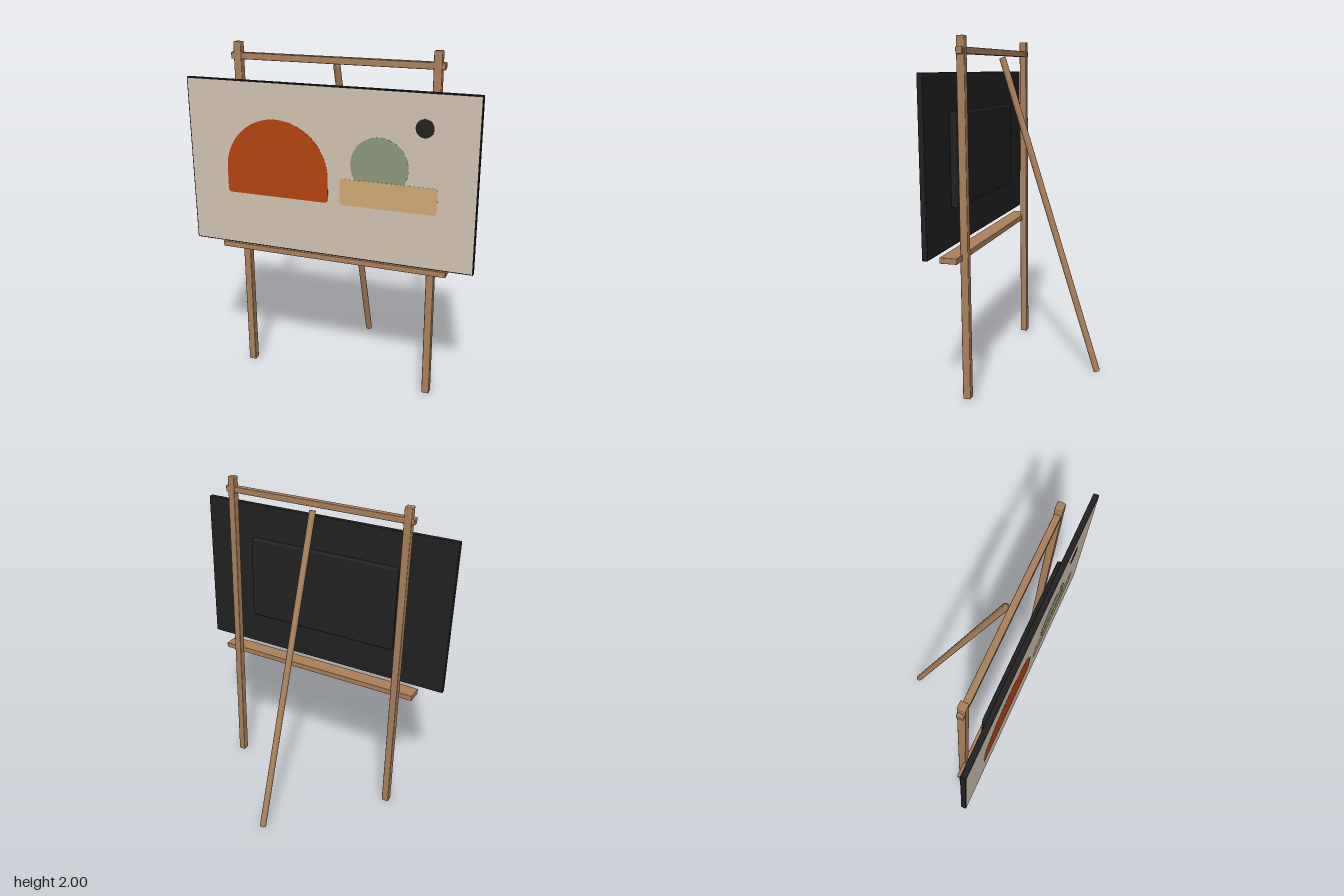
import * as THREE from 'three';
import { mergeVertices } from 'three/addons/utils/BufferGeometryUtils.js';
import { RoundedBoxGeometry } from 'three/addons/geometries/RoundedBoxGeometry.js';

const material = (name, color) => {
  const m = new THREE.MeshStandardMaterial({ color });
  m.name = name;
  return m;
};

export function createModel() {
  const wood = material('wood', 0xac815a);
  const black = material('black', 0x222222);
  const canvas = material('canvas', 0xd0c3b2);
  const rust = material('rust', 0xb5450f);
  const sage = material('sage', 0x8c997c);
  const sand = material('sand', 0xd0aa74);

  const model = new THREE.Group();
  model.name = 'displayEasel';

  const add = (name, geometry, mat, x = 0, y = 0, z = 0) => {
    const mesh = new THREE.Mesh(geometry, mat);
    mesh.name = name;
    mesh.position.set(x, y, z);
    model.add(mesh);
    return mesh;
  };
  // Box given by its lower and upper limits on each axis
  const box = (name, mat, [x0, x1], [y0, y1], [z0, z1], radius) =>
    add(name, new RoundedBoxGeometry(x1 - x0, y1 - y0, z1 - z0, 2, radius), mat,
      (x0 + x1) / 2, (y0 + y1) / 2, (z0 + z1) / 2);

  // Wooden frame
  for (const [name, x] of [['leftPost', 0.565], ['rightPost', -0.565]]) {
    box(name, wood, [x - 0.022, x + 0.022], [0.01, 2], [0.232, 0.276], 0.005);
  }
  box('topRail', wood, [-0.605, 0.605], [1.905, 1.942], [0.236, 0.273], 0.004);
  box('shelf', wood, [-0.672, 0.672], [0.81, 0.843], [0.262, 0.362], 0.003);

  // Slanting rear leg, smoothed over its ends
  const top = new THREE.Vector3(0, 1.893, 0.217);
  const foot = new THREE.Vector3(0, 0.006, -0.374);
  const axis = top.clone().sub(foot);
  let legGeometry = new THREE.CylinderGeometry(0.0195, 0.0195, axis.length(), 16);
  legGeometry.deleteAttribute('normal');
  legGeometry.deleteAttribute('uv');
  legGeometry = mergeVertices(legGeometry);
  legGeometry.computeVertexNormals();
  const leg = add('rearLeg', legGeometry, wood);
  leg.position.copy(top).add(foot).multiplyScalar(0.5);
  leg.quaternion.setFromUnitVectors(new THREE.Vector3(0, 1, 0), axis.normalize());

  // Screen panel and the housing on its back
  box('panel', black, [-0.825, 0.825], [0.861, 1.812], [0.36, 0.391], 0.003);
  box('backHousing', black, [-0.493, 0.493], [1.077, 1.602], [0.321, 0.362], 0.012);

  // Thin plates on the panel face
  const plate = (name, shape, mat, z) =>
    add(name, new THREE.ExtrudeGeometry(shape, { depth: 0.001, bevelEnabled: false, curveSegments: 32 }),
      mat, 0, 0, z);
  const circle = (x, y, r) => new THREE.Shape().absarc(x, y, r, 0, Math.PI * 2);
  // Rectangle with rounded lower corners, topped by rounded corners of radius rt
  const block = (x0, x1, y0, y1, rb, rt) => {
    const s = new THREE.Shape();
    s.absarc(x1 - rb, y0 + rb, rb, -Math.PI / 2, 0);
    s.absarc(x1 - rt, y1 - rt, rt, 0, Math.PI / 2);
    s.absarc(x0 + rt, y1 - rt, rt, Math.PI / 2, Math.PI);
    s.absarc(x0 + rb, y0 + rb, rb, Math.PI, Math.PI * 1.5);
    return s;
  };

  plate('artworkBackground', block(-0.819, 0.819, 0.867, 1.806, 0.002, 0.002), canvas, 0.3905);
  plate('archShape', block(-0.598, 0.01, 1.17, 1.61, 0.02, 0.3039), rust, 0.392);
  plate('roundShape', circle(0.3, 1.401, 0.16), sage, 0.392);
  plate('barShape', block(0.078, 0.618, 1.17, 1.318, 0.02, 0.02), sand, 0.3935);
  plate('dotShape', circle(0.54, 1.628, 0.049), black, 0.392);

  return model;
}
